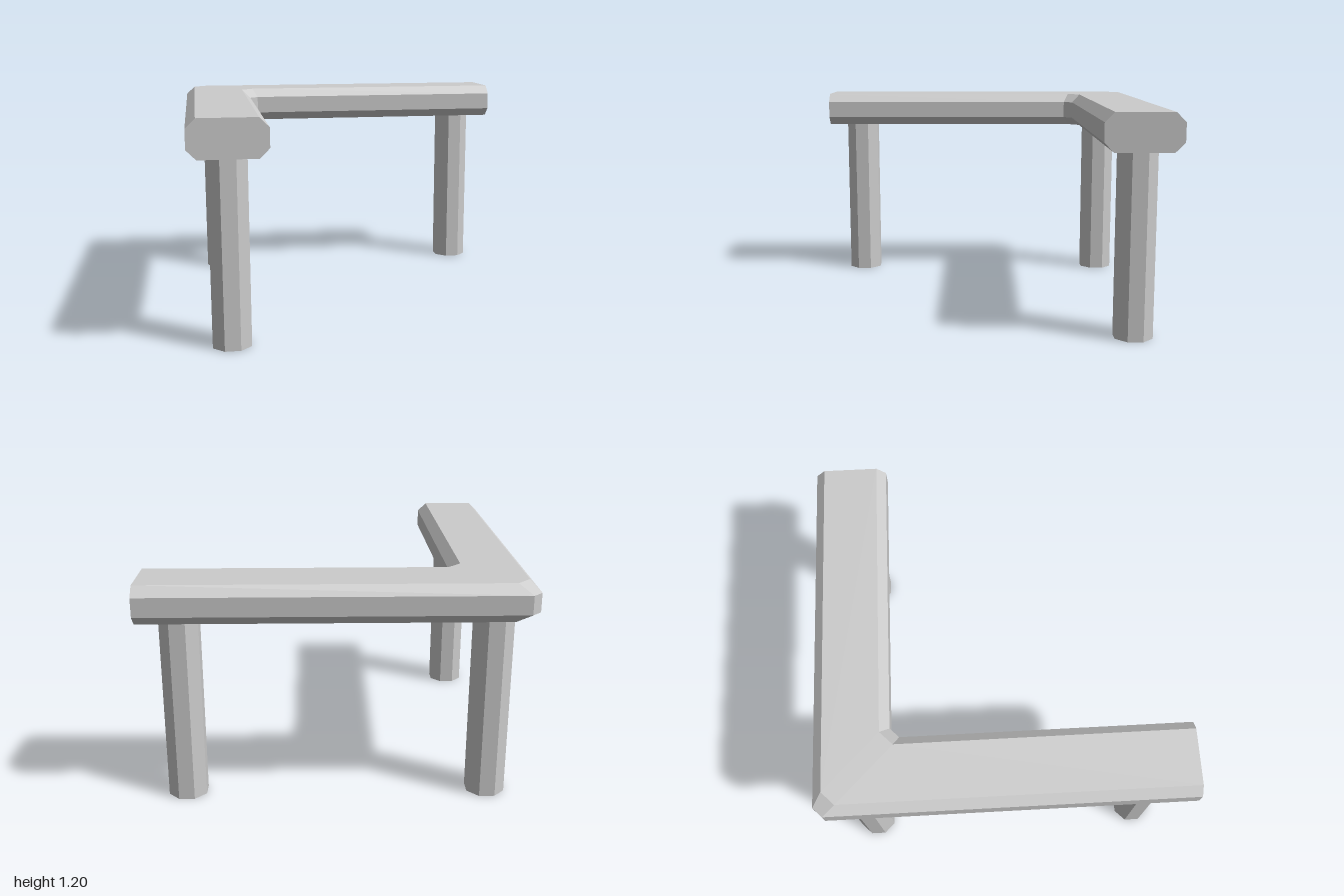
import * as THREE from 'three';

const material = new THREE.MeshStandardMaterial({ color: 0xcccccc, flatShading: true, roughness: 0.8 });

// Bevelled L-shaped top: one eight-sided section swept round the corner
function makeTop() {
  // [x across the bar, y, z where the section meets the corner]
  const section = [
    [-1, 1.05, -0.95], [-0.95, 1, -0.88], [-0.65, 1, -0.58], [-0.6, 1.05, -0.55],
    [-0.6, 1.15, -0.55], [-0.65, 1.2, -0.58], [-0.95, 1.2, -0.88], [-1, 1.15, -0.95],
  ];
  // The back bar mirrors the side bar across the diagonal x = z
  const rings = [
    section.map(([x, y]) => [x, y, 1]),
    section.map(([x, y, z]) => [x, y, z]),
    section.map(([x, y, z]) => [z, y, x]),
    section.map(([x, y]) => [1, y, x]),
  ];
  const n = section.length;
  const positions = [];
  const triangle = (a, b, c) => positions.push(...a, ...b, ...c);

  for (let r = 0; r < rings.length - 1; r++) {
    for (let i = 0; i < n; i++) {
      const j = (i + 1) % n;
      triangle(rings[r][i], rings[r + 1][i], rings[r][j]);
      triangle(rings[r][j], rings[r + 1][i], rings[r + 1][j]);
    }
  }
  // Flat ends
  const [first, last] = [rings[0], rings[rings.length - 1]];
  for (let i = 1; i < n - 1; i++) {
    triangle(first[0], first[i], first[i + 1]);
    triangle(last[0], last[i + 1], last[i]);
  }

  const geometry = new THREE.BufferGeometry();
  geometry.setAttribute('position', new THREE.Float32BufferAttribute(positions, 3));
  geometry.computeVertexNormals();
  const mesh = new THREE.Mesh(geometry, material);
  mesh.name = 'cornerTop';
  return mesh;
}

// Octagonal leg, 0.2 across its flats
function makeLeg(name, x, z) {
  const radius = 0.1 / Math.cos(Math.PI / 8);
  const geometry = new THREE.CylinderGeometry(radius, radius, 1, 8).rotateY(Math.PI / 8);
  const mesh = new THREE.Mesh(geometry, material);
  mesh.name = name;
  mesh.position.set(x, 0.5, z);
  return mesh;
}

export function createModel() {
  const model = new THREE.Group();
  model.name = 'cornerBench';
  model.add(
    makeTop(),
    makeLeg('cornerLeg', -0.8, -0.8),
    makeLeg('frontLeg', -0.8, 0.8),
    makeLeg('sideLeg', 0.8, -0.8),
  );
  return model;
}
